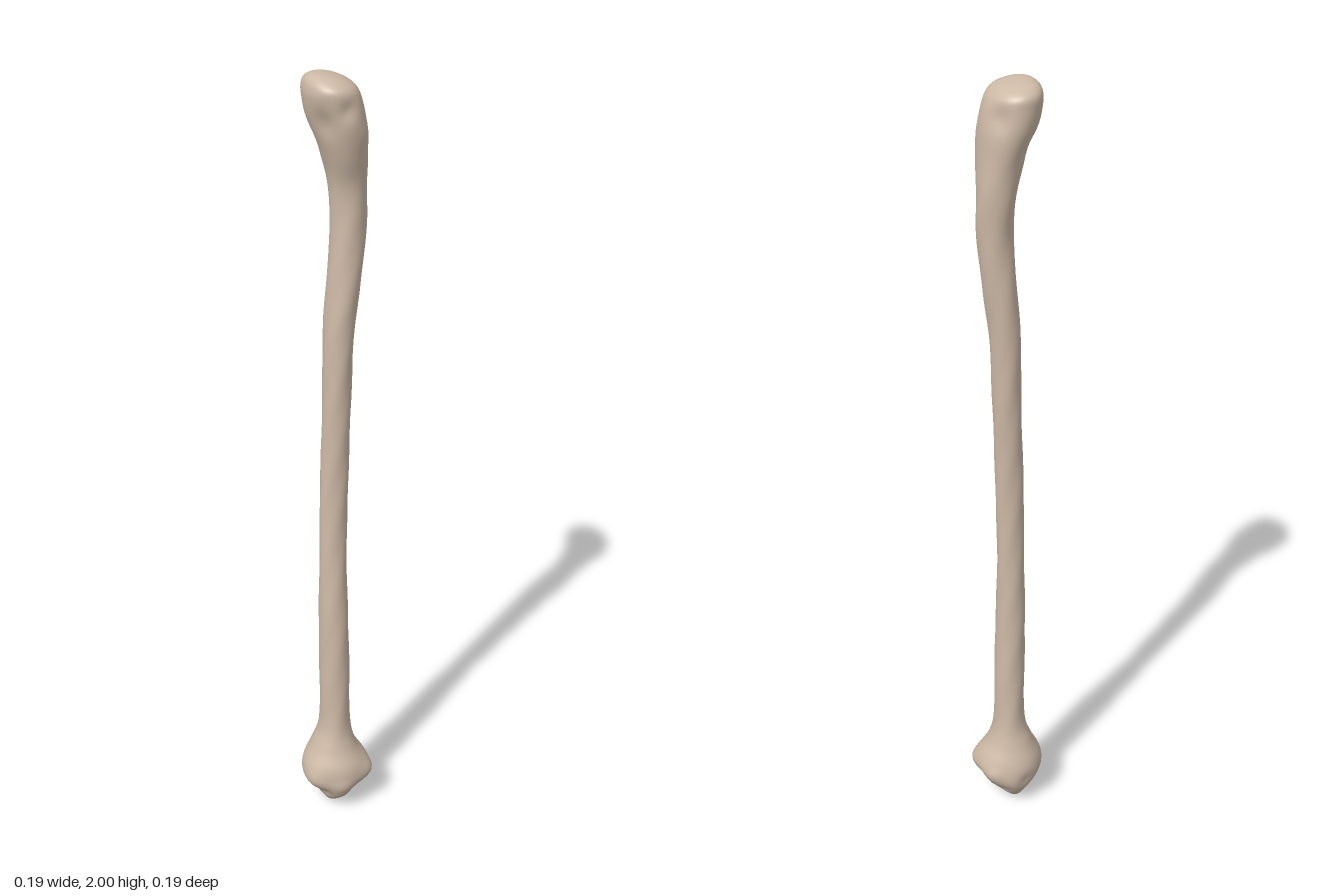
import * as THREE from 'three';

// Cross-sections from bottom to top: [y, xMin, xMax, zMin, zMax]
const SECTIONS = [
  [0.003, -0.016, -0.012, -0.004, 0.004],
  [0.008, -0.028, 0.004, -0.024, 0.026],
  [0.022, -0.038, 0.018, -0.04, 0.048],
  [0.05, -0.055, 0.048, -0.063, 0.077],
  [0.08, -0.078, 0.076, -0.077, 0.09],
  [0.11, -0.09, 0.09, -0.079, 0.093],
  [0.145, -0.086, 0.081, -0.073, 0.089],
  [0.195, -0.063, 0.054, -0.056, 0.068],
  [0.26, -0.043, 0.04, -0.042, 0.053],
  [0.4, -0.041, 0.037, -0.038, 0.05],
  [0.6, -0.042, 0.033, -0.035, 0.045],
  [0.8, -0.038, 0.031, -0.033, 0.033],
  [1.0, -0.034, 0.036, -0.034, 0.028],
  [1.2, -0.028, 0.043, -0.044, 0.032],
  [1.38, -0.023, 0.049, -0.054, 0.037],
  [1.5, -0.015, 0.065, -0.056, 0.037],
  [1.64, -0.006, 0.08, -0.057, 0.034],
  [1.74, -0.01, 0.08, -0.069, 0.038],
  [1.82, -0.03, 0.077, -0.076, 0.06],
  [1.9, -0.061, 0.071, -0.09, 0.077],
  [1.95, -0.071, 0.06, -0.092, 0.078],
  [1.975, -0.07, 0.045, -0.088, 0.073],
  [1.99, -0.063, 0.02, -0.066, 0.052],
  [1.998, -0.05, -0.01, -0.035, 0.025],
  [2.0, -0.035, -0.031, -0.004, 0.002],
];

// Hollows (negative) and knobs (positive): [x, y, z, radius, amount]
const RELIEF = [
  // upper end: shallow dishes and the groove running down the front
  [-0.045, 1.9, 0.055, 0.035, -0.012],
  [0.01, 1.93, 0.08, 0.022, -0.008],
  [0.05, 1.93, -0.075, 0.03, -0.01],
  [0.06, 1.87, 0.05, 0.03, 0.005],
  [-0.05, 1.85, -0.05, 0.035, -0.007],
  // lower end: side lobes, front keel and pitted joint face
  [0.075, 0.11, 0.05, 0.032, 0.012],
  [-0.075, 0.1, 0.055, 0.032, 0.009],
  [0.04, 0.06, 0.065, 0.022, -0.009],
  [-0.045, 0.06, 0.06, 0.022, -0.008],
  [0, 0.09, 0.09, 0.022, 0.004],
  [0.08, 0.09, -0.005, 0.022, -0.009],
  [0.06, 0.11, -0.055, 0.02, 0.005],
  [0.03, 0.06, -0.05, 0.02, -0.008],
  [-0.03, 0.09, -0.08, 0.022, -0.007],
  [-0.08, 0.07, -0.02, 0.022, -0.006],
];

// Lofts a smooth closed skin through the sections
function boneGeometry(around = 48, steps = 6) {
  const curve = (a, b) => new THREE.CatmullRomCurve3(
    SECTIONS.map((s) => new THREE.Vector3(s[0], s[a], s[b])), false, 'catmullrom', 0.5);
  const xCurve = curve(1, 2), zCurve = curve(3, 4);
  const rings = (SECTIONS.length - 1) * steps;
  const positions = [], indices = [];

  for (let j = 0; j <= rings; j++) {
    const px = xCurve.getPoint(j / rings), pz = zCurve.getPoint(j / rings);
    const y = THREE.MathUtils.clamp(px.x, 0, 2);
    const cx = (px.y + px.z) / 2, rx = Math.abs(px.z - px.y) / 2;
    const cz = (pz.y + pz.z) / 2, rz = Math.abs(pz.z - pz.y) / 2;
    for (let i = 0; i < around; i++) {
      const a = (i / around) * Math.PI * 2;
      const c = Math.cos(a), s = Math.sin(a);
      let x = cx + rx * c, z = cz + rz * s;
      // gentle unevenness, fading out at the tips
      let push = 0.0012 * Math.sin(3 * a + y * 9) * Math.sin(y * 23 + a);
      for (const [bx, by, bz, r, amount] of RELIEF) {
        const d2 = (x - bx) ** 2 + (y - by) ** 2 + (z - bz) ** 2;
        push += amount * Math.exp(-d2 / (r * r));
      }
      push *= Math.min(1, Math.min(rx, rz) / 0.03);
      positions.push(x + c * push, y, z + s * push);
    }
  }
  for (let j = 0; j < rings; j++) {
    for (let i = 0; i < around; i++) {
      const n = (i + 1) % around;
      const a = j * around + i, b = a + around;
      const c = j * around + n, d = c + around;
      indices.push(a, b, c, b, d, c);
    }
  }
  // close both tips
  const top = rings * around;
  for (let i = 1; i < around - 1; i++) {
    indices.push(0, i, i + 1, top, top + i + 1, top + i);
  }
  const geometry = new THREE.BufferGeometry();
  geometry.setAttribute('position', new THREE.Float32BufferAttribute(positions, 3));
  geometry.setIndex(indices);
  geometry.computeVertexNormals();
  return geometry;
}

export function createModel() {
  const group = new THREE.Group();
  group.name = 'longBone';
  const material = new THREE.MeshStandardMaterial({ color: 0xcdb9a6 });
  material.name = 'bone';
  const bone = new THREE.Mesh(boneGeometry(), material);
  bone.name = 'boneShaftAndEnds';
  group.add(bone);
  return group;
}
